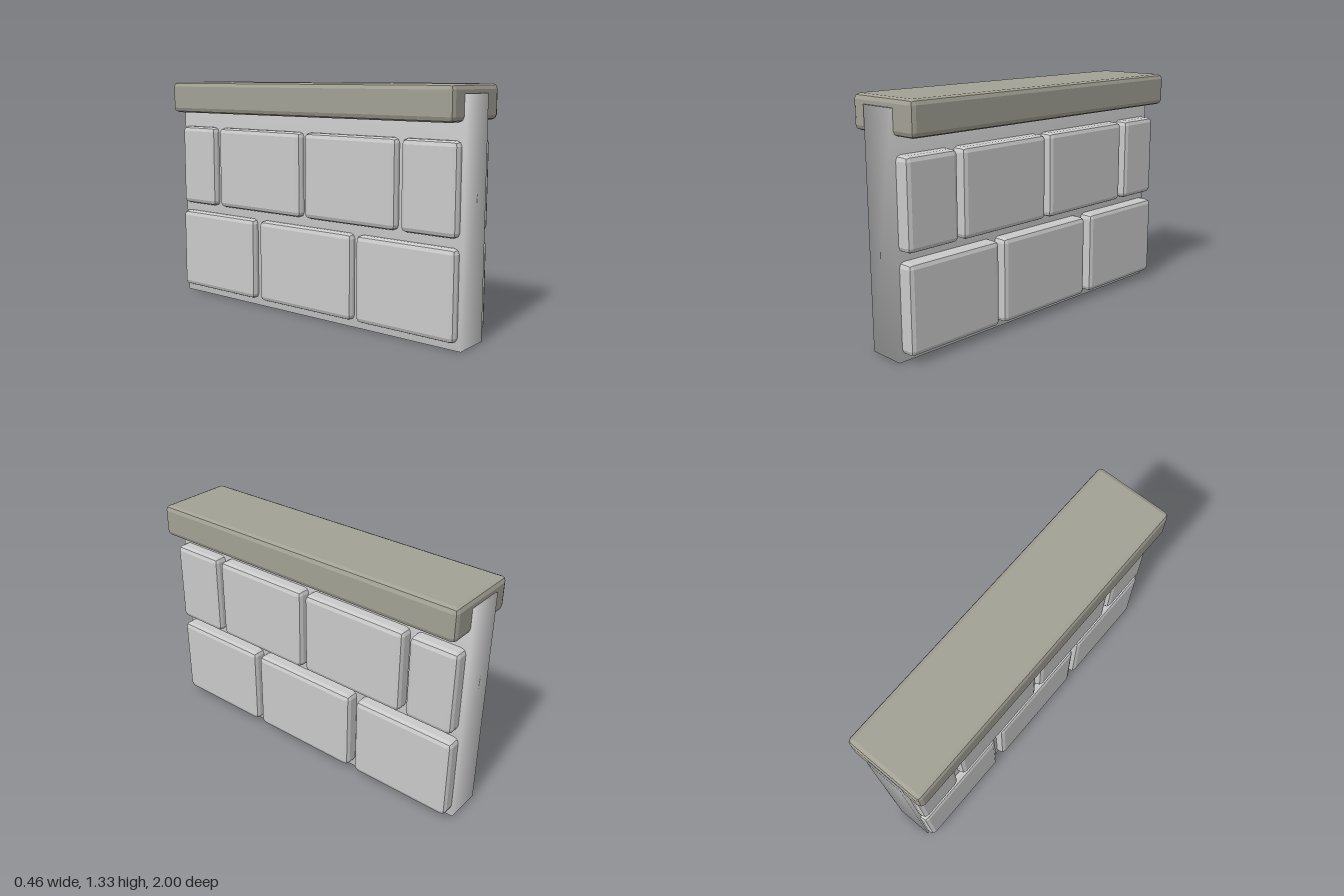
import * as THREE from 'three';
import { mergeVertices } from 'three/addons/utils/BufferGeometryUtils.js';
import { RoundedBoxGeometry } from 'three/addons/geometries/RoundedBoxGeometry.js';

const stone = new THREE.MeshStandardMaterial({ color: 0xcacaca });
stone.name = 'light grey stone';
const capstone = new THREE.MeshStandardMaterial({ color: 0xa3a195 });
capstone.name = 'warm grey capstone';

// Block with faceted, two-step bevels, given by its extents
function bevelBlock(name, material, [x0, x1], [y0, y1], [z0, z1], bevel) {
  const geometry = new RoundedBoxGeometry(x1 - x0, y1 - y0, z1 - z0, 1, bevel);
  geometry.computeVertexNormals();
  const mesh = new THREE.Mesh(geometry, material);
  mesh.name = name;
  mesh.position.set((x0 + x1) / 2, (y0 + y1) / 2, (z0 + z1) / 2);
  return mesh;
}

// Mortar core: a plain box shaded smoothly across its shared corners
function mortarCore() {
  let geometry = new THREE.BoxGeometry(0.215, 1.28, 2);
  geometry.deleteAttribute('normal');
  geometry.deleteAttribute('uv');
  geometry = mergeVertices(geometry);
  geometry.computeVertexNormals();
  const mesh = new THREE.Mesh(geometry, stone);
  mesh.name = 'mortarCore';
  mesh.position.set(-0.0175, 0.64, 0);
  return mesh;
}

export function createModel() {
  const wall = new THREE.Group();
  wall.name = 'wall';
  wall.add(mortarCore());

  // Courses of bricks running through the core and showing on both sides
  const courses = [
    { name: 'lowerCourse', y: [0.042, 0.523],
      spans: [[0.37, 0.98], [-0.335, 0.338], [-0.99, -0.38]] },
    { name: 'upperCourse', y: [0.574, 1.054],
      spans: [[0.652, 0.98], [0.01, 0.62], [-0.66, -0.02], [-0.98, -0.70]] },
  ];
  for (const { name, y, spans } of courses) {
    const course = new THREE.Group();
    course.name = name;
    spans.forEach((z, i) => course.add(bevelBlock(`brick${i + 1}`, stone, [-0.17, 0.168], y, z, 0.028)));
    wall.add(course);
  }

  // Cap along the top
  wall.add(bevelBlock('cap', capstone, [-0.234, 0.23], [1.143, 1.328], [-0.99, 0.988], 0.028));
  return wall;
}
